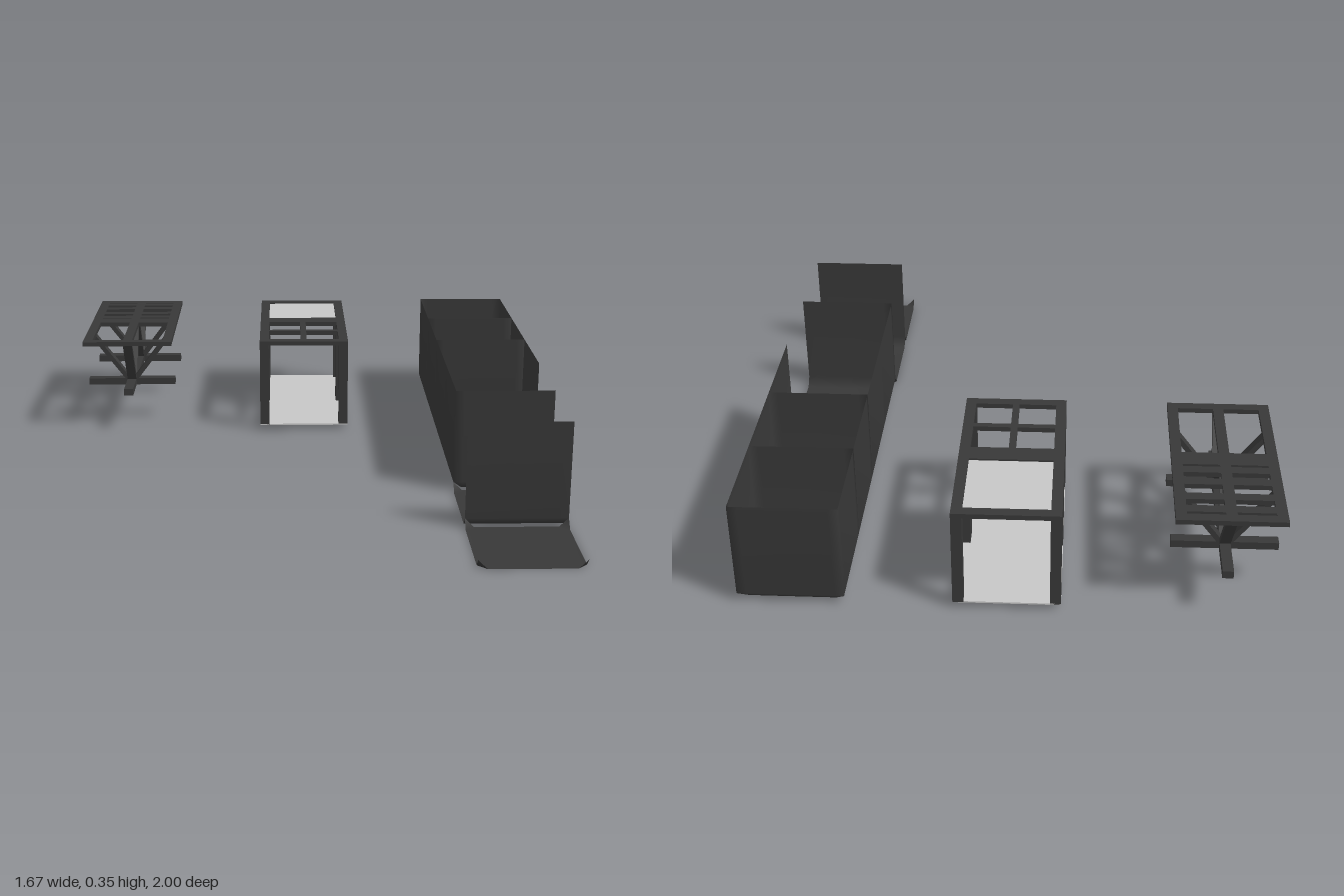
import * as THREE from 'three';
import { mergeVertices } from 'three/addons/utils/BufferGeometryUtils.js';

const CELL = 1 / 3, HALF = CELL / 2;   // every module fills one square cell
const BEVEL = 0.03, WALL = 0.354;      // floor bevel and wall height of the shells
const BAR = 0.034;                     // width of the frame members
const TOP = 0.35, THICK = 0.016;       // table and canopy tops

const dark = new THREE.MeshStandardMaterial({ color: 0x383838 });
dark.name = 'charcoal';
const shellMat = new THREE.MeshStandardMaterial({ color: 0x383838, side: THREE.DoubleSide });
shellMat.name = 'charcoalSheet';
const glass = new THREE.MeshStandardMaterial({ color: 0xc6c6c6 });
glass.name = 'paleGlass';

function box(parent, name, w, h, d, x, y, z, mat = dark) {
  const m = new THREE.Mesh(new THREE.BoxGeometry(w, h, d), mat);
  m.name = name;
  m.position.set(x, y, z);
  parent.add(m);
  return m;
}

// Square floor sheet whose edge bends up into a wall on each chosen side
function shellGeometry({ px = false, nx = false, pz = false, nz = false }) {
  const c = [-HALF, -HALF + BEVEL, HALF - BEVEL, HALF];
  const pos = [];
  const node = (i, j) => {
    const ex = i === 0 || i === 3, ez = j === 0 || j === 3;
    const up = (ex && ez) || (i === 0 && nx) || (i === 3 && px) || (j === 0 && nz) || (j === 3 && pz);
    return [c[i], up ? BEVEL : 0, c[j]];
  };
  const quad = (a, b, d, e) => pos.push(...a, ...b, ...d, ...a, ...d, ...e);
  for (let i = 0; i < 3; i++) for (let j = 0; j < 3; j++) {
    const a = node(i, j), b = node(i, j + 1), d = node(i + 1, j + 1), e = node(i + 1, j);
    // walled corners mitre outward; open corners get a small raised tip
    const corner = i !== 1 && j !== 1;
    const closed = (i === 0 ? nx : px) && (j === 0 ? nz : pz);
    const mainDiagonal = i === j;
    if (corner && closed !== mainDiagonal) quad(b, d, e, a);
    else quad(a, b, d, e);
  }
  // walls, wound to face the inside
  const raise = (p) => [p[0], WALL, p[2]];
  const wall = (p, q) => quad(p, q, raise(q), raise(p));
  for (let k = 0; k < 3; k++) {
    if (pz) wall(node(k + 1, 3), node(k, 3));
    if (nz) wall(node(k, 0), node(k + 1, 0));
    if (px) wall(node(3, k), node(3, k + 1));
    if (nx) wall(node(0, k + 1), node(0, k));
  }
  let g = new THREE.BufferGeometry();
  g.setAttribute('position', new THREE.Float32BufferAttribute(pos, 3));
  g = mergeVertices(g, 1e-4);
  g.computeVertexNormals();
  return g;
}

// Flat square ring of bars at the top of a module
function topRing(parent) {
  const y = TOP - THICK / 2, o = HALF - BAR / 2;
  for (const s of [-1, 1]) {
    box(parent, 'topSideRail', BAR, THICK, CELL, s * o, y, 0);
    box(parent, 'topEndRail', CELL - 2 * BAR, THICK, BAR, 0, y, s * o);
  }
}

// Trestle: ring top, crossed feet and four slanted braces
function trestle(slatted) {
  const g = new THREE.Group();
  g.name = slatted ? 'slattedTrestle' : 'openTrestle';
  const inner = CELL - 2 * BAR, y = TOP - THICK / 2;
  topRing(g);
  box(g, 'topCentreRail', BAR, THICK, inner, 0, y, 0);
  if (slatted) for (const z of [-0.105, -0.04, 0.04, 0.105])
    for (const s of [-1, 1])
      box(g, 'topSlat', (inner - BAR) / 2, THICK, BAR, s * (inner + BAR) / 4, y, z);
  box(g, 'crossFoot', CELL, 0.025, BAR, 0, 0.1525, 0);
  for (const s of [-1, 1])
    box(g, 'longFoot', BAR, 0.025, (CELL - BAR) / 2, 0, 0.1525, s * (CELL + BAR) / 4);
  // braces rise outward from the centre to each edge
  const run = 0.135, rise = 0.178, length = Math.hypot(run, rise);
  for (let k = 0; k < 4; k++) {
    const arm = new THREE.Group();
    arm.name = 'braceArm';
    arm.rotation.y = k * Math.PI / 2;
    const b = box(arm, 'brace', 0.017, length, BAR, 0.079, 0.249, 0);
    b.rotation.z = -Math.atan2(run, rise);
    g.add(arm);
  }
  return g;
}

// Canopy: four posts, ring top with glass or a cross, glass floor
function canopy(glazed) {
  const g = new THREE.Group();
  g.name = glazed ? 'glazedCanopy' : 'openCanopy';
  const o = HALF - BAR / 2, inner = CELL - 2 * BAR, y = TOP - THICK / 2;
  topRing(g);
  for (const sx of [-1, 1]) for (const sz of [-1, 1])
    box(g, 'post', BAR, TOP - THICK - 0.02, BAR, sx * o, (TOP - THICK + 0.02) / 2, sz * o);
  box(g, 'floorPane', CELL, 0.005, CELL, 0, 0.0215, 0, glass);
  if (glazed) {
    box(g, 'roofPane', inner, 0.005, inner, 0, y, 0, glass);
  } else {
    box(g, 'roofCrossBarLong', 0.022, THICK, inner, 0, y, 0);
    for (const s of [-1, 1])
      box(g, 'roofCrossBar', (inner - 0.022) / 2, THICK, 0.022, s * (inner + 0.022) / 4, y, 0);
  }
  return g;
}

export function createModel() {
  const model = new THREE.Group();
  model.name = 'modularKit';

  // trestles and canopies, two modules each at the rear
  [true, false].forEach((first, i) => {
    const z = -1 + HALF + i * CELL;
    const t = trestle(first);
    t.position.set(-2 / 3, 0, z);
    const c = canopy(first);
    c.position.set(0, 0, z);
    model.add(t, c);
  });

  // row of shells from rear to front, with fewer walls each time
  const shells = [
    ['closedShell', { px: true, nx: true, pz: true, nz: true }],
    ['endShell', { px: true, nx: true, pz: true }],
    ['corridorShell', { px: true, nx: true }],
    ['cornerShell', { nx: true, pz: true }],
    ['singleWallShell', { pz: true }],
    ['floorShell', {}],
  ];
  shells.forEach(([name, sides], i) => {
    const m = new THREE.Mesh(shellGeometry(sides), shellMat);
    m.name = name;
    m.position.set(2 / 3, 0, -1 + HALF + i * CELL);
    model.add(m);
  });
  return model;
}
